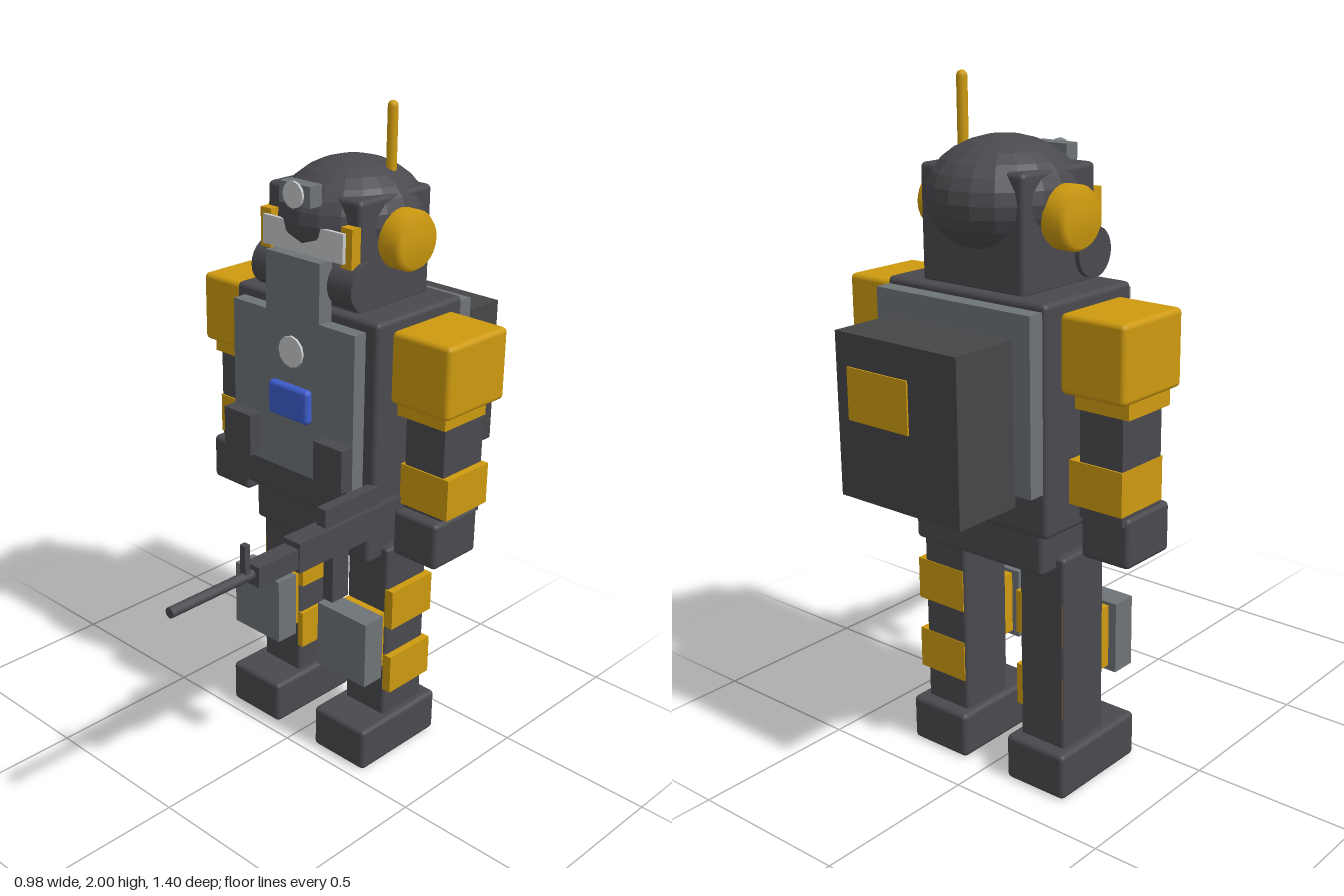
import * as THREE from 'three';
import { RoundedBoxGeometry } from 'three/addons/geometries/RoundedBoxGeometry.js';

const material = (name, color) => {
  const m = new THREE.MeshStandardMaterial({ color });
  m.name = name;
  return m;
};

export function createModel() {
  const dark = material('charcoal', 0x4a494e);
  const packDark = material('packCharcoal', 0x464649);
  const grey = material('plateGrey', 0x6e7377);
  const yellow = material('amber', 0xcd9a0f);
  const light = material('paleGrey', 0xc6c8ca);
  const blue = material('blue', 0x3d5dcc);

  const model = new THREE.Group();
  model.name = 'robotSoldier';

  const add = (parent, name, geometry, mat) => {
    const mesh = new THREE.Mesh(geometry, mat);
    mesh.name = name;
    parent.add(mesh);
    return mesh;
  };
  const group = (name) => {
    const g = new THREE.Group();
    g.name = name;
    model.add(g);
    return g;
  };
  // Box given by its limits; r > 0 rounds the edges
  const box = (parent, name, mat, [x0, x1], [y0, y1], [z0, z1], r = 0) => {
    const w = x1 - x0, h = y1 - y0, d = z1 - z0;
    const g = r ? new RoundedBoxGeometry(w, h, d, 2, r) : new THREE.BoxGeometry(w, h, d);
    g.translate((x0 + x1) / 2, (y0 + y1) / 2, (z0 + z1) / 2);
    return add(parent, name, g, mat);
  };
  // Same limits mirrored to the given side
  const side = (s, a, b) => (s > 0 ? [a, b] : [-b, -a]);
  // Disc facing the front
  const disc = (parent, name, mat, r, y, z0, z1) => {
    const g = new THREE.CylinderGeometry(r, r, z1 - z0, 12);
    g.rotateX(Math.PI / 2).translate(0, y, (z0 + z1) / 2);
    return add(parent, name, g, mat);
  };

  // Torso and pelvis
  const torso = group('torso');
  box(torso, 'chest', dark, [-0.28, 0.28], [0.81, 1.45], [-0.435, -0.07], 0.015);
  box(torso, 'pelvis', dark, [-0.235, 0.235], [0.68, 0.83], [-0.4, -0.1], 0.015);
  box(torso, 'chestPlateBacking', yellow, [-0.2, 0.2], [1.04, 1.37], [-0.071, -0.062]);
  box(torso, 'chestPlate', grey, [-0.24, 0.24], [0.94, 1.42], [-0.065, -0.02]);
  box(torso, 'collarPlate', grey, [-0.105, 0.105], [1.42, 1.595], [-0.07, -0.02]);
  disc(torso, 'chestBadge', light, 0.047, 1.315, -0.02, -0.012);
  box(torso, 'chestPanel', blue, [-0.08, 0.08], [1.11, 1.215], [-0.03, 0.002], 0.014);
  for (const s of [-1, 1]) box(torso, 'pouch', dark, side(s, 0.13, 0.24), [0.96, 1.09], [-0.02, 0.025]);

  // Backpack
  const pack = group('backpack');
  box(pack, 'backPlate', grey, [-0.27, 0.27], [0.94, 1.43], [-0.485, -0.435]);
  box(pack, 'packBody', packDark, [-0.213, 0.213], [0.905, 1.36], [-0.695, -0.48]);
  box(pack, 'packPatch', yellow, [-0.045, 0.17], [1.125, 1.27], [-0.7, -0.694]);

  // Head
  const head = group('head');
  box(head, 'headBlock', dark, [-0.18, 0.18], [1.44, 1.765], [-0.4, -0.1], 0.015);
  const dome = new THREE.SphereGeometry(1, 20, 14).toNonIndexed();
  dome.scale(0.207, 0.16, 0.221).translate(0, 1.68, -0.264);
  dome.computeVertexNormals();
  add(head, 'helmet', dome, dark);
  const chin = new THREE.CylinderGeometry(0.07, 0.07, 0.39, 24);
  chin.rotateZ(Math.PI / 2).translate(0, 1.525, -0.12);
  add(head, 'chinRoll', chin, dark);
  box(head, 'visor', light, [-0.155, 0.155], [1.595, 1.68], [-0.07, -0.058]);
  box(head, 'lampHousing', grey, [-0.06, 0.06], [1.738, 1.798], [-0.075, -0.028]);
  disc(head, 'lampLens', light, 0.038, 1.768, -0.028, -0.02);

  // Ear cups with rounded rims and the visor brackets
  const earProfile = [[0, 0], [0.08, 0], [0.087, 0.012], [0.087, 0.062], [0.075, 0.08], [0, 0.083]]
    .map(([r, y]) => new THREE.Vector2(r, y));
  for (const s of [-1, 1]) {
    const ear = new THREE.LatheGeometry(earProfile, 24);
    ear.rotateZ(-s * Math.PI / 2).translate(s * 0.18, 1.64, -0.253);
    add(head, 'earCup', ear, yellow);
    box(head, 'visorBracket', yellow, side(s, 0.135, 0.177), [1.58, 1.695], [-0.106, -0.071]);
  }
  const antenna = new THREE.CapsuleGeometry(0.015, 0.27, 4, 10);
  antenna.translate(0.106, 1.85, -0.306);
  add(head, 'antenna', antenna, yellow);

  // Arms; the bands sit slightly off centre in the same direction on both
  for (const s of [-1, 1]) {
    const arm = group(s > 0 ? 'leftArm' : 'rightArm');
    box(arm, 'shoulder', yellow, side(s, 0.28, 0.488), [1.205, 1.42], [-0.38, -0.125], 0.015);
    box(arm, 'armCore', dark, side(s, 0.313, 0.453), [0.86, 1.22], [-0.335, -0.165]);
    const c = s * 0.378;
    box(arm, 'upperBand', yellow, [c - 0.097, c + 0.077], [1.16, 1.21], [-0.34, -0.16]);
    box(arm, 'lowerBand', yellow, [c - 0.077, c + 0.097], [0.89, 1.015], [-0.34, -0.16]);
    box(arm, 'hand', dark, side(s, 0.303, 0.463), [0.735, 0.88], [-0.32, -0.13], 0.015);
  }

  // Legs
  for (const s of [-1, 1]) {
    const leg = group(s > 0 ? 'leftLeg' : 'rightLeg');
    box(leg, 'legCore', dark, side(s, 0.103, 0.263), [0.12, 0.72], [-0.34, -0.16], 0.012);
    box(leg, 'foot', dark, side(s, 0.08, 0.29), [0, 0.14], [-0.38, -0.04], 0.015);
    const x = s > 0 ? [0.112, 0.286] : [-0.257, -0.09];
    const z = s > 0 ? [-0.342, -0.161] : [-0.339, -0.161];
    box(leg, 'thighBand', yellow, x, [0.455, 0.583], z);
    box(leg, 'shinBand', yellow, x, [0.23, 0.355], z);
    box(leg, 'kneeMount', yellow, side(s, 0.11, 0.255), [0.315, 0.505], [-0.18, -0.125]);
    box(leg, 'kneePad', grey, side(s, 0.085, 0.281), [0.3, 0.515], [-0.125, -0.048]);
  }

  // Rifle held at the left side
  const rifle = group('rifle');
  box(rifle, 'receiver', dark, [0.241, 0.305], [0.82, 0.91], [-0.16, 0.257]);
  box(rifle, 'foreStock', dark, [0.246, 0.301], [0.833, 0.893], [0.257, 0.407]);
  const barrel = new THREE.CylinderGeometry(0.015, 0.015, 0.3, 12);
  barrel.rotateX(Math.PI / 2).translate(0.273, 0.866, 0.547);
  add(rifle, 'barrel', barrel, dark);
  box(rifle, 'topRail', dark, [0.256, 0.29], [0.91, 0.965], [-0.08, 0.14]);
  box(rifle, 'magazine', dark, [0.255, 0.292], [0.663, 0.82], [0.045, 0.11]);
  box(rifle, 'frontSight', dark, [0.263, 0.283], [0.87, 0.963], [0.422, 0.44]);

  return model;
}
